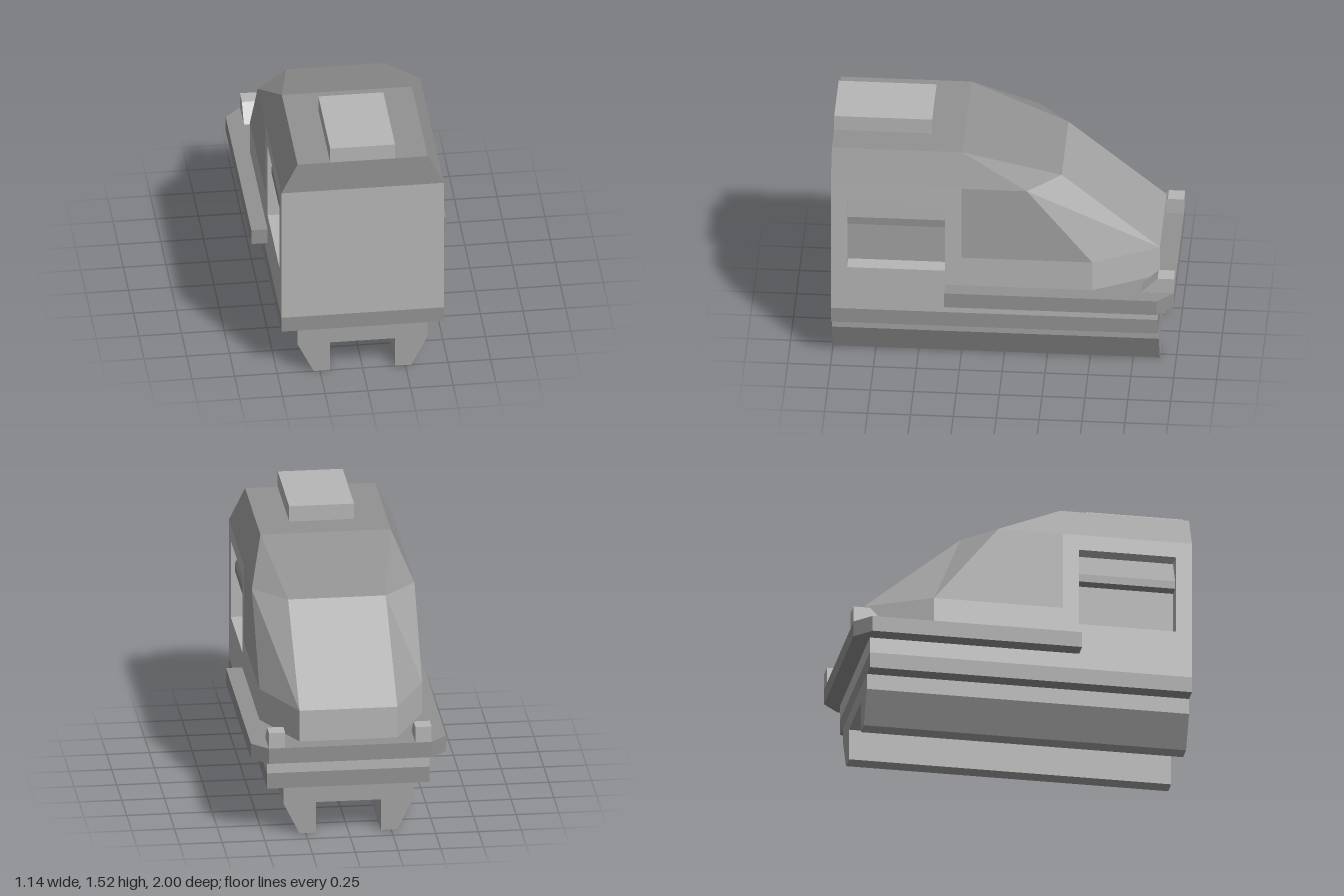
import * as THREE from 'three';
import { ConvexGeometry } from 'three/addons/geometries/ConvexGeometry.js';

const paint = (color) => new THREE.MeshStandardMaterial({ color, flatShading: true });
const light = paint(0xb6b6b6); // walls
const medium = paint(0xa3a3a3); // glass and base
const dark = paint(0x929292); // roof and trim

const toShape = (points) => new THREE.Shape(points.map(([a, b]) => new THREE.Vector2(a, b)));
const extrude = (shape, depth) => new THREE.ExtrudeGeometry(shape, { depth, bevelEnabled: false });

// Side profile given as (z, y), extruded across x from x0 to x1
function acrossX(points, x0, x1, hole) {
  const flip = ([z, y]) => [-z, y];
  const shape = toShape(points.map(flip));
  if (hole) shape.holes.push(toShape(hole.map(flip)));
  return extrude(shape, x1 - x0).rotateY(Math.PI / 2).translate(x0, 0, 0);
}

// Cross-section given as (x, y), extruded along z from z0 to z1
const alongZ = (points, z0, z1) => extrude(toShape(points), z1 - z0).translate(0, 0, z0);

// Plan given as (x, z), extruded upward from y0 to y1
const upY = (points, y0, y1) =>
  extrude(toShape(points.map(([x, z]) => [x, -z])), y1 - y0).rotateX(-Math.PI / 2).translate(0, y0, 0);

function box(x0, x1, y0, y1, z0, z1) {
  return new THREE.BoxGeometry(x1 - x0, y1 - y0, z1 - z0)
    .translate((x0 + x1) / 2, (y0 + y1) / 2, (z0 + z1) / 2);
}

// Facets of the sloped nose: one row of corners, mirrored to the other side
function noseFacets(index) {
  const half = [
    [0.476, 1.238, -0.143], [0.286, 1.238, -0.333], // top
    [0.476, 0.762, -0.524], [0.286, 0.762, -0.905], // waist
    [0.476, 0.571, -0.524], [0.286, 0.571, -0.905], // foot
  ];
  const corners = [...half, ...half.map(([x, y, z]) => [-x, y, z])];
  const geometry = new THREE.BufferGeometry();
  geometry.setAttribute('position', new THREE.Float32BufferAttribute(corners.flat(), 3));
  geometry.setIndex(index);
  const flat = geometry.toNonIndexed();
  flat.computeVertexNormals();
  return flat;
}

export function createModel() {
  const model = new THREE.Group();
  const add = (name, material, geometry) => {
    const mesh = new THREE.Mesh(geometry, material);
    mesh.name = name;
    model.add(mesh);
  };

  // Base with two tapered runners and a channel between them
  add('base', medium, alongZ([
    [-0.381, 0.286], [-0.381, 0.19], [-0.286, 0], [-0.19, 0], [-0.19, 0.19],
    [0.19, 0.19], [0.19, 0], [0.286, 0], [0.381, 0.19], [0.381, 0.286],
  ], -0.905, 1));

  // Lower body
  add('skirt', dark, box(-0.476, 0.476, 0.286, 0.381, -0.905, 1));
  add('lowerBody', light, box(-0.476, 0.476, 0.381, 0.476, -0.905, 1));

  // Cabin: the core shows as the glass at the back of the window openings
  add('cabinCore', medium, acrossX(
    [[0.905, 0.476], [0.905, 1.238], [-0.143, 1.238], [-0.524, 0.762], [-0.524, 0.476]], -0.381, 0.381));
  add('frontWall', light, box(-0.381, 0.381, 0.476, 1.238, 0.905, 1));

  // Nose: glass above the waist, solid panels below
  add('noseGlass', medium, noseFacets([
    1, 3, 9, 1, 9, 7, // windscreen
    0, 2, 3, 0, 3, 1, // left cheek
    6, 7, 8, 8, 7, 9, // right cheek
  ]));
  add('nosePanels', light, noseFacets([
    3, 5, 11, 3, 11, 9, 2, 4, 5, 2, 5, 3, 8, 11, 10, 8, 9, 11,
  ]));

  // Roof with chamfered sides and a sloped end
  const roofCorners = [];
  for (const s of [-1, 1]) {
    for (const [x, y, z] of [
      [0.381, 1.429, 1], [0.476, 1.238, 1], [0.381, 1.429, 0.238],
      [0.476, 1.238, -0.143], [0.286, 1.238, -0.333],
    ]) roofCorners.push(new THREE.Vector3(s * x, y, z));
  }
  add('roof', dark, new ConvexGeometry(roofCorners));
  add('roofBox', light, box(-0.19, 0.19, 1.429, 1.524, 0.429, 1));

  // Bumper wrapping the nose and running along the sides
  add('bumper', dark, upY([
    [-0.571, 0.333], [0.571, 0.333], [0.571, -0.905],
    [0.476, -1], [-0.476, -1], [-0.571, -0.905],
  ], 0.476, 0.571));

  // Side wall with window opening, flush side glass, awning and lamp on each side
  const wall = [[1, 0.476], [1, 1.238], [0.238, 1.238], [0.238, 0.762], [-0.524, 0.762], [-0.524, 0.476]];
  const opening = [[0.905, 0.667], [0.333, 0.667], [0.333, 1.143], [0.905, 1.143]];
  const glass = [[0.238, 0.762], [0.238, 1.238], [-0.143, 1.238], [-0.524, 0.762]];
  const lamp = [[-1, 0.571], [-1, 0.667], [-0.905, 0.667], [-0.81, 0.571]];
  const awning = [[0.381, 1.143], [0.452, 1.0], [0.452, 0.952], [0.381, 0.952]];
  for (const [side, s] of [['left', 1], ['right', -1]]) {
    const x0 = s > 0 ? 0.381 : -0.476;
    const x1 = x0 + 0.095;
    add(side + 'Wall', light, acrossX(wall, x0, x1, opening));
    add(side + 'Glass', medium, acrossX(glass, x0, x1));
    add(side + 'Lamp', light, acrossX(lamp, x0, x1));
    add(side + 'Awning', dark, alongZ(awning.map(([x, y]) => [s * x, y]), 0.333, 0.905));
  }
  return model;
}
